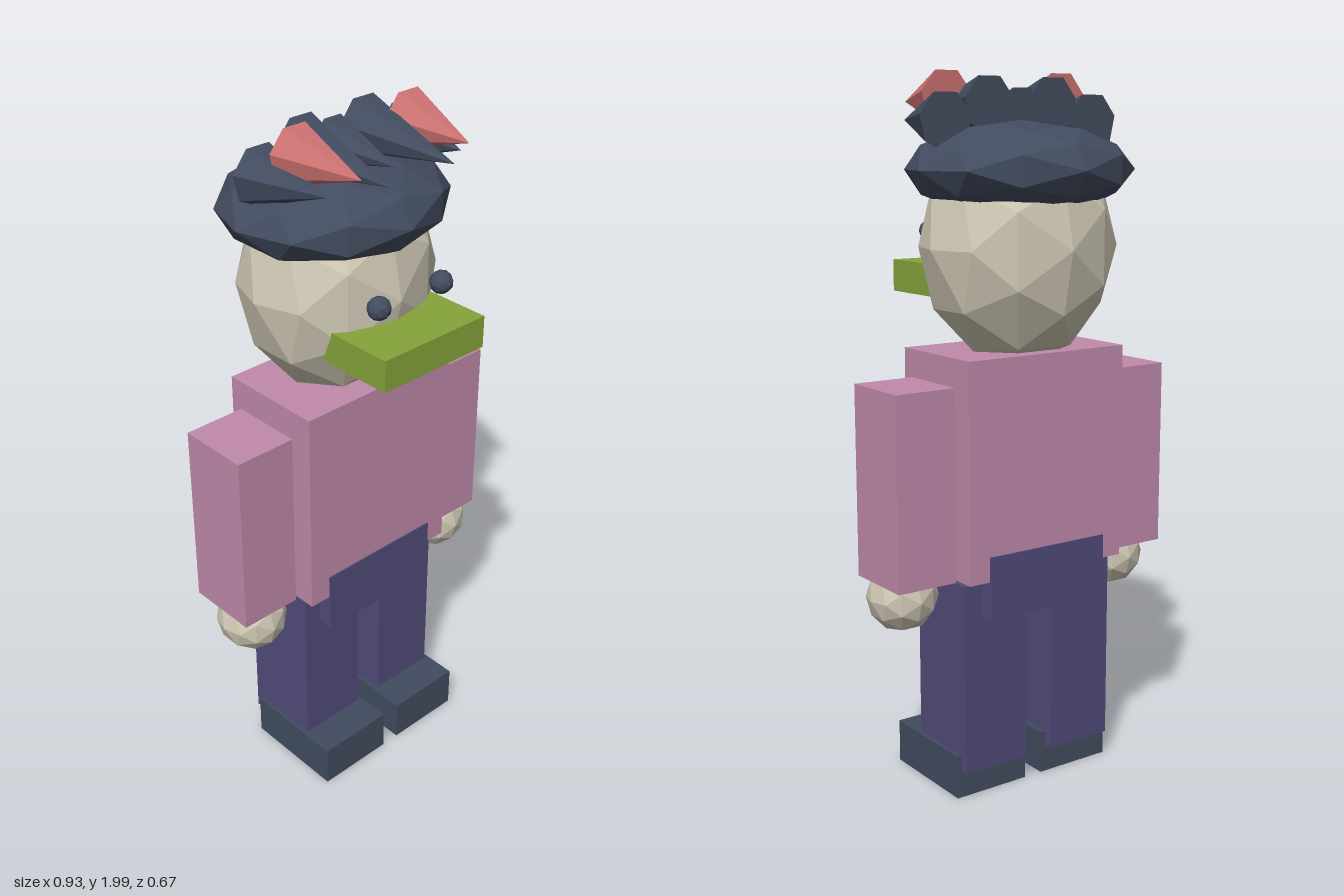
import * as THREE from 'three';

export function createModel() {
  const model = new THREE.Group();
  model.name = 'blockFigure';

  const paint = (name, color) => {
    const m = new THREE.MeshStandardMaterial({ color, flatShading: true });
    m.name = name;
    return m;
  };
  const skin = paint('skin', 0xcfc8b4);
  const pink = paint('sweaterPink', 0xc08aab);
  const indigo = paint('trouserIndigo', 0x514b79);
  const slate = paint('darkSlate', 0x424c5f);
  const green = paint('mouthGreen', 0x86a43a);
  const red = paint('hairTipRed', 0xca7070);

  const add = (name, geometry, material) => {
    const mesh = new THREE.Mesh(geometry, material);
    mesh.name = name;
    model.add(mesh);
    return mesh;
  };

  // Block given by its limits on each axis
  const block = (name, mat, [x0, x1], [y0, y1], [z0, z1]) =>
    add(name, new THREE.BoxGeometry(x1 - x0, y1 - y0, z1 - z0), mat)
      .position.set((x0 + x1) / 2, (y0 + y1) / 2, (z0 + z1) / 2);

  // Faceted ball with its own radius on each axis
  const ball = (name, mat, center, radii) => {
    const g = new THREE.IcosahedronGeometry(1, 1).scale(...radii);
    g.computeVertexNormals();
    add(name, g, mat).position.set(...center);
  };

  // Spike with a flat upright base, leaning towards its tip
  const spike = (name, mat, base, r, tip) => {
    const g = new THREE.ConeGeometry(1, 1, 7).toNonIndexed();
    g.translate(0, 0.5, 0).rotateX(Math.PI / 2);
    const [dx, dy, dz] = tip.map((v, i) => v - base[i]);
    g.applyMatrix4(new THREE.Matrix4().set(
      r, 0, dx, 0,
      0, r, dy, 0,
      0, 0, dz, 0,
      0, 0, 0, 1));
    g.computeVertexNormals();
    add(name, g, mat).position.set(...base);
  };

  // Body
  block('torso', pink, [-0.26, 0.26], [0.64, 1.25], [-0.18, 0.137]);
  block('pelvis', indigo, [-0.195, 0.195], [0.53, 0.71], [-0.185, 0.141]);

  // Head, hair cap and mouth
  ball('head', skin, [0, 1.53, -0.04], [0.285, 0.33, 0.243]);
  ball('hairCap', slate, [0, 1.735, -0.05], [0.325, 0.13, 0.285]);
  block('mouth', green, [-0.178, 0.176], [1.385, 1.475], [0.1, 0.33]);
  spike('middleSpike', slate, [0, 1.89, -0.055], 0.065, [0, 1.88, 0.175]);

  // Mirrored parts
  for (const [side, s] of [['left', 1], ['right', -1]]) {
    const span = (a, b) => (s > 0 ? [a, b] : [-b, -a]);
    block(side + 'Arm', pink, span(0.272, 0.453), [0.64, 1.175], [-0.13, 0.082]);
    ball(side + 'Hand', skin, [s * 0.366, 0.59, -0.003], [0.1, 0.1, 0.1]);
    block(side + 'Leg', indigo, span(0.043, 0.25), [0.08, 0.625], [-0.14, 0.095]);
    block(side + 'Shoe', slate, span(0.028, 0.262), [0, 0.125], [-0.115, 0.197]);
    ball(side + 'Eye', slate, [s * 0.11, 1.56, 0.235], [0.032, 0.032, 0.032]);
    spike(side + 'OuterSpike', slate, [s * 0.242, 1.86, -0.055], 0.082, [s * 0.227, 1.865, 0.175]);
    spike(side + 'InnerSpike', slate, [s * 0.105, 1.905, -0.055], 0.08, [s * 0.11, 1.885, 0.265]);
    spike(side + 'RedSpike', red, [s * 0.19, 1.92, 0.02], 0.08, [s * 0.18, 1.915, 0.245]);
  }

  return model;
}
